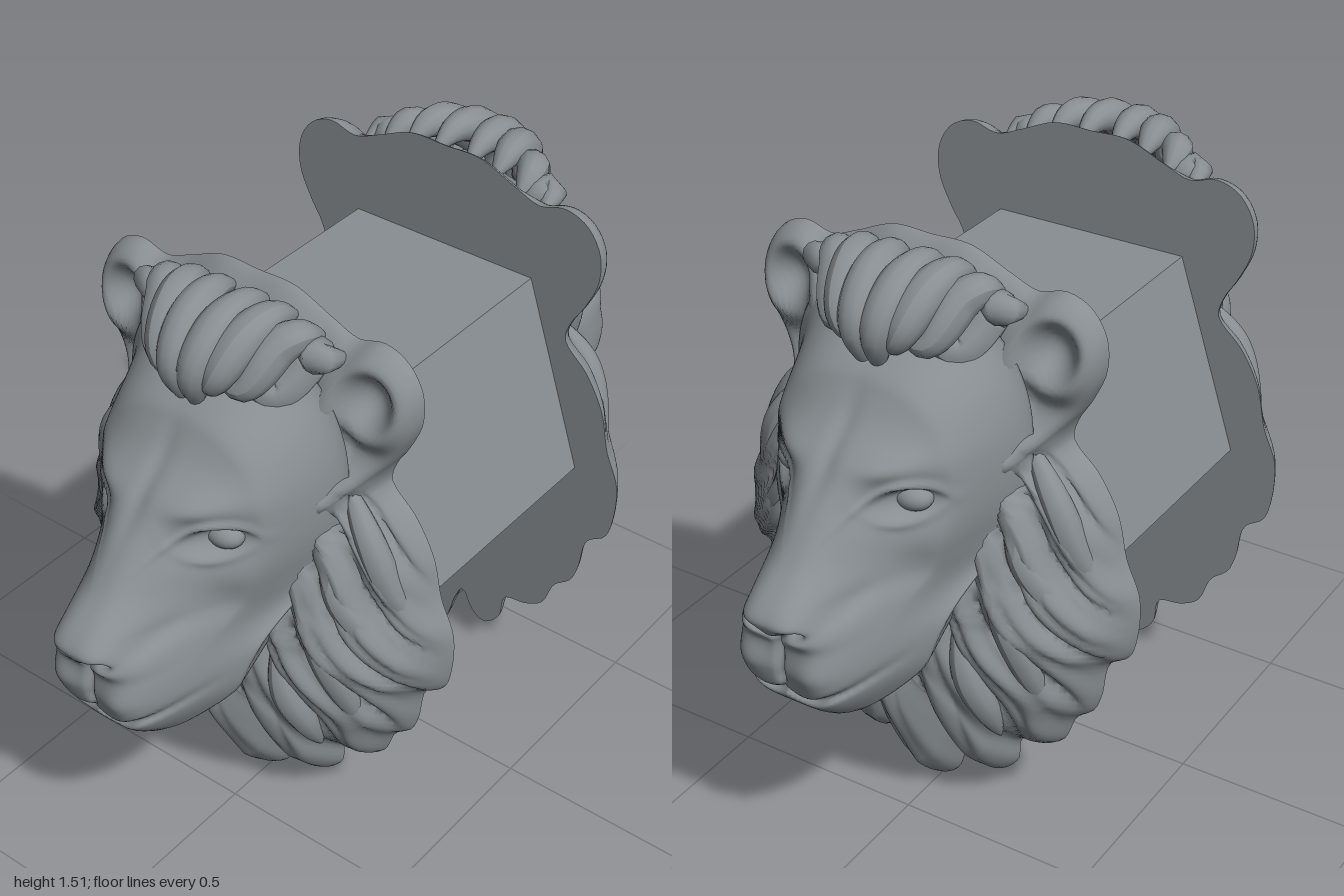
import * as THREE from 'three';
import { mergeVertices } from 'three/addons/utils/BufferGeometryUtils.js';

const BACK = 0.34;
const stone = new THREE.MeshStandardMaterial({ color: 0x888e92, side: THREE.DoubleSide });
const facet = new THREE.MeshStandardMaterial({ color: 0x888e92, flatShading: true });

const bell = (d, r) => Math.exp(-((d / r) ** 2));
const spot = (x, y, cx, cy, rx, ry) => bell(x - cx, rx) * bell(y - cy, ry);
const step = THREE.MathUtils.smoothstep;

// Smooth curve through [position, value] pairs
function along(pts, p) {
  const n = pts.length - 1;
  if (p <= pts[0][0]) return pts[0][1];
  if (p >= pts[n][0]) return pts[n][1];
  let i = 0;
  while (p > pts[i + 1][0]) i++;
  const slope = (j) => {
    const a = pts[Math.max(j - 1, 0)], b = pts[Math.min(j + 1, n)];
    return (b[1] - a[1]) / (b[0] - a[0]);
  };
  const [x0, y0] = pts[i], [x1, y1] = pts[i + 1];
  const h = x1 - x0, t = (p - x0) / h, s = 1 - t;
  return s * s * (1 + 2 * t) * y0 + t * t * (3 - 2 * t) * y1 + h * t * s * (s * slope(i) - t * slope(i + 1));
}

// Closed outline mirrored from its +x half (listed top to bottom)
function outline(half, count) {
  const mirrored = half.slice(1, -1).reverse().map(([x, y]) => [-x, y]);
  const pts = [...half, ...mirrored].map(([x, y]) => new THREE.Vector3(x, y, 0));
  return new THREE.CatmullRomCurve3(pts, true, 'centripetal').getSpacedPoints(count).slice(0, count);
}

// Relief made of rings growing from a centre to an outline; size(v) scales a ring, height gives z
function relief(rim, cy, rings, size, height) {
  const pos = [], index = [], n = rim.length;
  for (let j = 0; j <= rings; j++) {
    const v = j / rings, k = size(v);
    for (const p of rim) {
      const x = p.x * k, y = cy + (p.y - cy) * k;
      pos.push(x, y, height(x, y, v, k));
    }
  }
  for (let j = 0; j < rings; j++)
    for (let i = 0; i < n; i++) {
      const a = j * n + i, b = j * n + ((i + 1) % n);
      index.push(a, b + n, a + n, a, b, b + n);
    }
  let geo = new THREE.BufferGeometry();
  geo.setAttribute('position', new THREE.Float32BufferAttribute(pos, 3));
  geo.setIndex(index);
  geo = mergeVertices(geo, 1e-5);
  geo.computeVertexNormals();
  return geo;
}

// Tapered strand of hair
function lock(points, radius) {
  const curve = new THREE.CatmullRomCurve3(points.map((p) => new THREE.Vector3(...p)));
  const seg = 24, sides = 12;
  const geo = new THREE.TubeGeometry(curve, seg, radius, sides);
  const pos = geo.attributes.position, v = new THREE.Vector3();
  for (let i = 0; i < pos.count; i++) {
    const t = Math.floor(i / (sides + 1)) / seg, c = curve.getPointAt(t);
    const taper = Math.pow(Math.max(Math.sin(Math.PI * (0.06 + 0.94 * t)), 0), 0.7);
    v.fromBufferAttribute(pos, i).sub(c).multiplyScalar(taper).add(c);
    pos.setXYZ(i, v.x, v.y, v.z);
  }
  geo.computeVertexNormals();
  return geo;
}

// Mane and ears silhouette
const maneHalf = [[0, 1.49], [0.1, 1.49], [0.2, 1.45], [0.27, 1.425], [0.34, 1.442], [0.4, 1.42], [0.44, 1.36],
  [0.443, 1.28], [0.41, 1.2], [0.375, 1.14], [0.365, 1.09], [0.43, 1.02], [0.48, 0.93], [0.505, 0.82], [0.54, 0.73],
  [0.538, 0.62], [0.52, 0.56], [0.47, 0.52], [0.45, 0.42], [0.43, 0.37], [0.385, 0.33], [0.35, 0.25], [0.3, 0.22],
  [0.235, 0.205], [0.22, 0.13], [0.17, 0.085], [0.13, 0.11], [0.1, 0.165], [0.075, 0.12], [0.045, 0.03], [0, 0.002]];

function maneHeight(x, y, v, k) {
  const ax = Math.abs(x);
  // Hair flows down and outwards from the crown, in waves
  const dist = Math.hypot(ax, 1.35 - y);
  const flow = Math.atan2(ax, 1.35 - y) + 0.035 * Math.sin(dist * 11) * step(ax, 0.08, 0.28);
  const big = Math.pow(Math.abs(Math.cos(flow * 21)), 0.6) - 0.6;
  const fine = Math.abs(Math.cos(flow * 52 + 0.8 * Math.sin(dist * 7)));
  const hair = step(1.15 - y, 0, 0.15);
  const fade = Math.min(1, (1 - k) * 7);
  let z = 0.22 * Math.pow(Math.max(1 - k * k, 0), 0.72);
  z += fade * hair * (0.045 * big + 0.012 * fine) + 0.04 * spot(x, y, 0, 0.42, 0.09, 0.2);
  // Ears: a thin plate with a raised rim around a hollow
  const ear = step(y, 1.06, 1.2) * step(ax, 0.2, 0.3);
  const q = Math.hypot(ax - 0.345, (y - 1.325) * 0.9);
  const plate = Math.sqrt(Math.max(1 - k ** 14, 0)) *
    (0.055 + 0.035 * bell(q - 0.075, 0.03) - 0.035 * bell(q, 0.05) + 0.08 * step(0.29 - ax, 0, 0.08));
  return BACK + Math.max(0, THREE.MathUtils.lerp(z, plate, ear));
}

// Face outline and its profiles, each by height
const faceHalf = [[0, 1.42], [0.15, 1.4], [0.25, 1.33], [0.305, 1.22], [0.315, 1.05], [0.285, 0.9], [0.24, 0.79],
  [0.215, 0.7], [0.185, 0.61], [0.11, 0.545], [0, 0.525]];
const profile = [[0.5, 0.76], [0.535, 0.82], [0.56, 0.87], [0.62, 0.93], [0.7, 0.95], [0.77, 0.95], [0.81, 0.98],
  [0.85, 1], [0.88, 0.982], [0.95, 0.9], [1.05, 0.82], [1.13, 0.75], [1.2, 0.67], [1.3, 0.6], [1.42, 0.52]];
const snoutWidth = [[0.5, 0.12], [0.56, 0.14], [0.65, 0.172], [0.75, 0.174], [0.82, 0.155], [0.88, 0.128], [1, 0.12],
  [1.1, 0.13], [1.2, 0.16], [1.4, 0.2]];
const snoutShape = [[0.5, 5], [0.75, 5.5], [0.85, 3.6], [0.95, 2.6], [1.1, 2.1], [1.4, 2]];
const skull = [[0.5, 0.69], [0.65, 0.71], [0.95, 0.72], [1.1, 0.7], [1.2, 0.645], [1.28, 0.605], [1.42, 0.52]];

function faceHeight(px, y, k) {
  const x = Math.abs(px);
  let z = 0.42 + (along(skull, y) - 0.42) * Math.sqrt(Math.max(1 - (x / 0.325) ** 2, 0));
  const snout = Math.exp(-Math.pow(x / along(snoutWidth, y), along(snoutShape, y)));
  z += (along(profile, y) - z) * snout;
  // Brow, cheekbone, eye socket and lids
  z += 0.024 * spot(x, y, 0.13, 1.125, 0.07, 0.03) - 0.012 * spot(x, y, 0, 1.14, 0.025, 0.09);
  z += 0.015 * spot(x, y, 0.19, 0.95, 0.06, 0.05) - 0.035 * spot(x, y, 0.15, 1.045, 0.058, 0.038);
  const bow = 7 * (x - 0.155) ** 2 - 0.12 * (x - 0.155), lid = bell(x - 0.155, 0.06);
  z += lid * (0.026 * bell(y - 1.085 + bow, 0.012) + 0.014 * bell(y - 1.0 - bow, 0.012));
  // Nose pad, nostrils and philtrum
  z -= 0.035 * spot(x, y, 0.055, 0.822, 0.024, 0.012) + 0.03 * spot(x, y, 0.11, 0.855, 0.025, 0.03);
  z -= 0.022 * bell(y - 0.795 - 0.5 * x, 0.012) * step(0.08 - x, 0, 0.03);
  z -= 0.018 * bell(x, 0.009) * step(y, 0.65, 0.69) * step(0.8 - y, 0, 0.03);
  z += 0.018 * spot(x, y, 0.085, 0.72, 0.06, 0.055);
  // Mouth line
  const mouth = 0.645 - 0.02 * Math.sin(Math.min(x / 0.1, 1) * Math.PI) + 0.45 * Math.max(x - 0.1, 0);
  z -= 0.026 * bell(y - mouth, 0.011) * step(0.2 - x, 0, 0.05);
  // Forehead and cheeks melt into the mane
  return THREE.MathUtils.lerp(z, 0.43, step(k, 0.72, 1.04) * step(y, 0.72, 0.92));
}

function createHead() {
  const head = new THREE.Group();
  const add = (name, geo) => {
    const mesh = new THREE.Mesh(geo, stone);
    mesh.name = name;
    head.add(mesh);
    return mesh;
  };

  const maneRim = outline(maneHalf, 260);
  add('maneAndEars', relief(maneRim, 0.75, 52, (v) => 1 - Math.pow(1 - v, 1.4), maneHeight));
  const plate = new THREE.ShapeGeometry(new THREE.Shape(maneRim.map((p) => new THREE.Vector2(p.x, p.y))));
  add('backPlate', plate.rotateY(Math.PI).translate(0, 0, BACK));

  // Face, whose outer rings turn back under the jaw
  const turn = 0.88;
  const tuck = (v) => (v < turn ? v / turn : 1 - 0.27 * ((v - turn) / (1 - turn)));
  add('face', relief(outline(faceHalf, 170), 0.85, 84, tuck, (x, y, v, k) => {
    if (v <= turn) return faceHeight(x, y, k);
    const rimZ = faceHeight(x / k, 0.85 + (y - 0.85) / k, 1);
    return THREE.MathUtils.lerp(rimZ, 0.4, (v - turn) / (1 - turn));
  }));

  // Loose locks beside the face
  const sideLocks = [
    [[0.3, 1.08, 0.41], [0.37, 0.98, 0.43], [0.42, 0.85, 0.415], [0.47, 0.72, 0.375]],
    [[0.27, 0.95, 0.46], [0.32, 0.83, 0.48], [0.39, 0.71, 0.445], [0.42, 0.56, 0.4]],
    [[0.24, 0.8, 0.5], [0.28, 0.68, 0.505], [0.32, 0.53, 0.465], [0.35, 0.38, 0.41]],
    [[0.17, 0.62, 0.52], [0.19, 0.5, 0.52], [0.22, 0.38, 0.48], [0.23, 0.27, 0.43]],
  ];
  // Forelock: a fan of locks swept back over the crown
  const fan = [[0.04, 1.475, 0.59], [0.105, 1.468, 0.575], [0.165, 1.445, 0.54], [0.22, 1.415, 0.48]];
  for (const s of [-1, 1]) {
    const eye = add('eye', new THREE.SphereGeometry(0.045, 20, 14));
    eye.scale.set(1.1, 0.75, 0.85);
    eye.position.set(s * 0.152, 1.043, 0.656);

    for (const pts of sideLocks)
      add('maneLock', lock(pts.map(([x, y, z]) => [s * x, y, z]), 0.038));
    for (const [x, top, front] of fan)
      add('forelock', lock([[s * x * 0.4, 1.26 + x * 0.55, 0.585 - x * 0.25], [s * x * 0.7, top - 0.1, front],
        [s * x * 0.95, top - 0.02, front - 0.07], [s * x * 1.1, top, 0.44], [s * x * 1.2, top - 0.03, 0.36]], 0.047));
  }
  return head;
}

export function createModel() {
  const model = new THREE.Group();
  model.name = 'doubleLionHead';

  // Five-sided bar joining the heads
  const bar = new THREE.Mesh(new THREE.CylinderGeometry(0.44, 0.44, 2 * BACK, 5).rotateX(Math.PI / 2), facet);
  bar.name = 'connectingBar';
  bar.position.y = 0.867;
  model.add(bar);

  const front = createHead();
  front.name = 'frontHead';
  const back = front.clone();
  back.name = 'backHead';
  back.rotation.y = Math.PI;
  model.add(front, back);
  return model;
}
